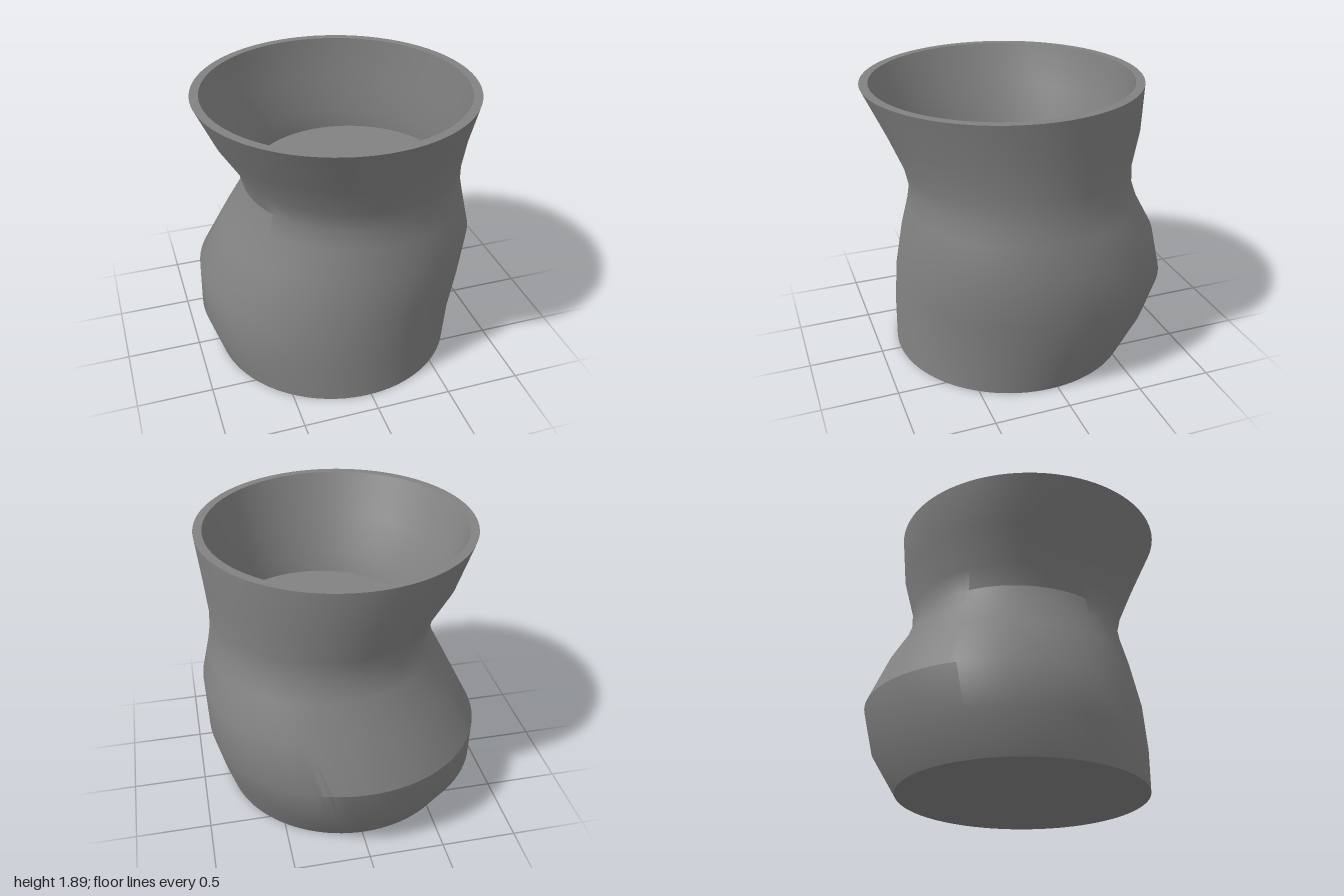
import * as THREE from 'three';
import { toCreasedNormals } from 'three/addons/utils/BufferGeometryUtils.js';

const INNER_SCALE = 0.937; // inner radius relative to the outer one
const FLOOR_LEVEL = 5; // inner floor sits at the neck

// Rounded sections of the leaning body:
// [y, centre x, centre z, radius, fullness of the two corners on the +x side]
const SECTIONS = [
  [0.00, -0.021, 0.045, 0.819, 0],
  [0.26, -0.037, -0.040, 0.895, 0],
  [0.55, 0.001, -0.078, 0.921, 0.01],
  [0.89, 0.092, -0.030, 0.841, 0.03],
  [1.10, 0.120, 0.007, 0.762, 0.015],
  [1.23, 0.128, 0.019, 0.731, 0],
  [1.37, 0.105, 0.030, 0.746, 0],
  [1.60, 0.045, 0.042, 0.827, 0],
  [1.893, -0.003, 0.094, 0.908, 0],
];

export function createModel() {
  const group = new THREE.Group();
  group.name = 'vessel';

  // Path of rings: base centre, outer wall, rim, inner wall, floor centre
  const inner = SECTIONS.slice(FLOOR_LEVEL).reverse()
    .map(([y, x, z, r]) => [y, x, z, r * INNER_SCALE, 0]);
  const [fy, fx, fz] = SECTIONS[FLOOR_LEVEL];
  const [by, bx, bz] = SECTIONS[0];
  const rings = [[by, bx, bz, 0, 0], ...SECTIONS, ...inner, [fy, fx, fz, 0, 0]];

  // Lathe the rings, then swell each one and shift it to its own centre
  const lathe = new THREE.LatheGeometry(
    rings.map(([y, , , r]) => new THREE.Vector2(r, y)), 96);
  const pos = lathe.attributes.position;
  for (let i = 0; i < pos.count; i++) {
    const [y, cx, cz, r, fullness] = rings[i % rings.length];
    const angle = Math.atan2(pos.getZ(i), pos.getX(i));
    const swell = Math.cos(angle) > 0 ? fullness * Math.sin(2 * angle) ** 2 : 0;
    pos.setXYZ(i, cx + (r + swell) * Math.cos(angle), y, cz + (r + swell) * Math.sin(angle));
  }

  const body = new THREE.Mesh(
    toCreasedNormals(lathe, Math.PI / 6),
    new THREE.MeshStandardMaterial({ color: 0x828282 }));
  body.name = 'vesselBody';
  group.add(body);
  return group;
}
